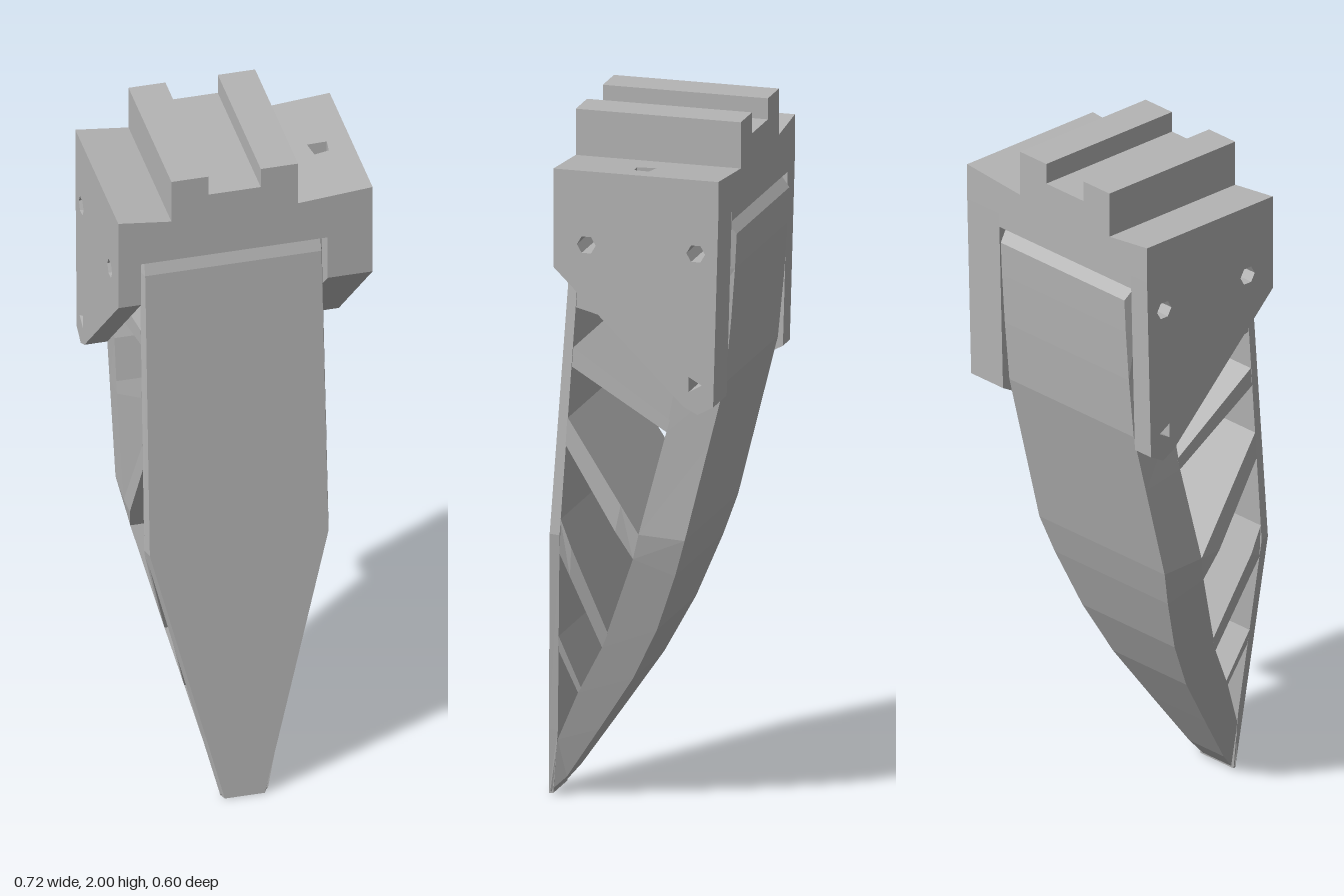
import * as THREE from 'three';

const grey = new THREE.MeshStandardMaterial({ color: 0xb4b4b4, flatShading: true });
grey.name = 'plain grey';

const CENTER = -0.033;
// Half width of the finger: narrow tip, widening to y = 0.8, then nearly parallel
const halfWidth = (y) => (y < 0.8 ? 0.065 + (0.197 * y) / 0.8 : 0.262 - 0.004 * (y - 0.8));

function add(parent, geometry, name) {
  const mesh = new THREE.Mesh(geometry, grey);
  mesh.name = name;
  parent.add(mesh);
  return mesh;
}

// Bar across the finger, lofted through sections [z1, y1, z2, y2]; insets narrow each edge
function strip(sections, inset1 = 0, inset2 = 0) {
  const rings = sections.map(([z1, y1, z2, y2]) => {
    const a = halfWidth(y1) - inset1, b = halfWidth(y2) - inset2;
    return [[CENTER - a, y1, z1], [CENTER + a, y1, z1], [CENTER + b, y2, z2], [CENTER - b, y2, z2]];
  });
  const pos = [];
  const quad = (a, b, c, d) => pos.push(...a, ...b, ...c, ...a, ...c, ...d);
  for (let i = 0; i < rings.length - 1; i++) {
    for (let k = 0; k < 4; k++) {
      const n = (k + 1) % 4;
      quad(rings[i][k], rings[i][n], rings[i + 1][n], rings[i + 1][k]);
    }
  }
  const [s, e] = [rings[0], rings[rings.length - 1]];
  quad(s[0], s[3], s[2], s[1]);
  quad(e[0], e[1], e[2], e[3]);
  const g = new THREE.BufferGeometry();
  g.setAttribute('position', new THREE.Float32BufferAttribute(pos, 3));
  g.computeVertexNormals();
  return g;
}

// Rib given by its front end and back end, each [zTop, yTop, zBottom, yBottom]
function rib(front, back) {
  const sections = [];
  for (let i = 0; i <= 4; i++) sections.push(front.map((v, k) => v + ((back[k] - v) * i) / 4));
  return strip(sections);
}

const toShape = (pts) => new THREE.Shape(pts.map(([x, y]) => new THREE.Vector2(x, y)));
const toPath = (pts) => new THREE.Path(pts.map(([x, y]) => new THREE.Vector2(x, y)));
const ngon = (x, y, r, n, turn = 0) => Array.from({ length: n }, (_, i) => {
  const a = turn + (i / n) * Math.PI * 2;
  return [x + r * Math.cos(a), y + r * Math.sin(a)];
});
const extrude = (shape, depth) => new THREE.ExtrudeGeometry(shape, { depth, bevelEnabled: false });

// Side cheek of the bracket with two screw holes and a small triangular one
function cheek(x0, x1) {
  const profile = [[0.185, 1.605], [-0.19, 1.235], [-0.23, 1.215], [-0.275, 1.24], [-0.29, 1.78], [0.185, 1.78]];
  const shape = toShape(profile.map(([z, y]) => [-z, y]));
  shape.holes.push(
    toPath(ngon(-0.09, 1.675, 0.027, 6)),
    toPath(ngon(0.225, 1.675, 0.027, 6)),
    toPath(ngon(0.217, 1.3, 0.025, 3)),
  );
  return extrude(shape, x1 - x0).rotateY(Math.PI / 2).translate(x0, 0, 0);
}

// Shoulder on top of a cheek, rising slightly outwards
function shoulder(inner, outer, hole) {
  const shape = toShape([[inner, -0.185], [outer, -0.185], [outer, 0.29], [inner, 0.29]]);
  if (hole) shape.holes.push(toPath(hole.map(([x, z]) => [x, -z])));
  const g = extrude(shape, 1).rotateX(-Math.PI / 2);
  const p = g.attributes.position;
  for (let i = 0; i < p.count; i++) {
    const t = (p.getX(i) - inner) / (outer - inner);
    p.setY(i, p.getY(i) > 0.5 ? 1.868 + 0.018 * t : 1.78);
  }
  g.computeVertexNormals();
  return g;
}

export function createModel() {
  const model = new THREE.Group();
  model.name = 'flexibleFinger';

  // Finger: flat front plate, curved back plate, slanted ribs between them
  const finger = new THREE.Group();
  finger.name = 'finger';
  model.add(finger);
  add(finger, strip([
    [0.3, 0, 0.285, 0.004], [0.285, 0.2, 0.257, 0.2], [0.238, 0.8, 0.207, 0.8],
    [0.173, 1.69, 0.145, 1.69], [0.155, 1.74, 0.14, 1.74],
  ], 0.008, 0), 'frontPlate');
  add(finger, strip([
    [0.293, 0.01, 0.29, 0.002], [0.26, 0.17, 0.245, 0.055], [0.19, 0.32, 0.14, 0.21],
    [0.11, 0.465, 0.03, 0.375], [0.045, 0.63, -0.05, 0.53], [0, 0.745, -0.115, 0.7],
    [-0.02, 0.82, -0.15, 0.81], [-0.1, 1.12, -0.22, 1.09], [-0.13, 1.285, -0.265, 1.27],
    [-0.2, 1.45, -0.283, 1.45], [-0.262, 1.6, -0.294, 1.6], [-0.268, 1.735, -0.299, 1.7],
  ], 0, 0.01), 'backPlate');
  const ribs = [
    [[0.235, 0.495, 0.235, 0.44], [0.18, 0.335, 0.19, 0.32]],
    [[0.205, 0.85, 0.212, 0.745], [0.09, 0.51, 0.11, 0.465]],
    [[0.185, 1.14, 0.19, 1.06], [-0.02, 0.82, 0, 0.745]],
    [[0.168, 1.34, 0.172, 1.285], [-0.11, 1.155, -0.1, 1.12]],
    [[0.157, 1.5, 0.16, 1.455], [-0.21, 1.43, -0.18, 1.37]],
    [[0.145, 1.738, 0.145, 1.708], [-0.268, 1.735, -0.268, 1.708]],
  ];
  ribs.forEach(([front, back], i) => add(finger, rib(front, back), `rib${i + 1}`));

  // Bracket: cheeks, shoulders and the grooved rail block
  const bracket = new THREE.Group();
  bracket.name = 'bracket';
  model.add(bracket);
  add(bracket, cheek(0.232, 0.36), 'leftCheek');
  add(bracket, cheek(-0.363, -0.298), 'rightCheek');
  const topHole = [[0.24, -0.075], [0.295, -0.07], [0.29, -0.027], [0.248, -0.022]];
  add(bracket, shoulder(0.148, 0.36, topHole), 'leftShoulder');
  add(bracket, shoulder(-0.212, -0.363), 'rightShoulder').material = grey;
  const bridge = add(bracket, new THREE.BoxGeometry(0.53, 0.04, 0.475), 'bridge');
  bridge.position.set(-0.033, 1.76, -0.0525);
  const rail = toShape([
    [-0.212, 1.78], [0.148, 1.78], [0.148, 2], [0.042, 2],
    [0.042, 1.94], [-0.107, 1.94], [-0.107, 2], [-0.212, 2],
  ]);
  add(bracket, extrude(rail, 0.475).translate(0, 0, -0.29), 'railBlock');

  return model;
}
